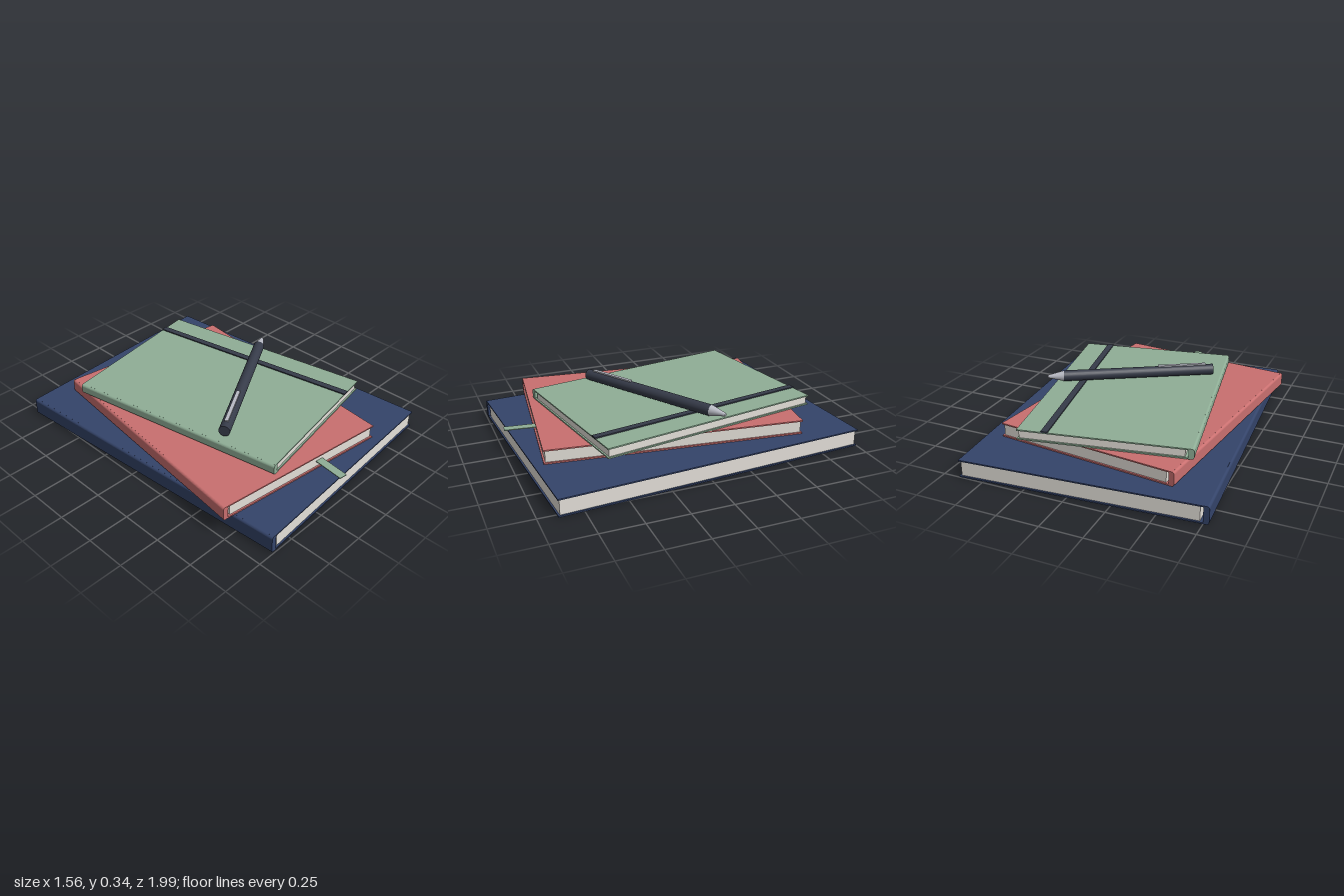
import * as THREE from 'three';

const mat = (name, color) => {
  const m = new THREE.MeshStandardMaterial({ color });
  m.name = name;
  return m;
};

function add(parent, name, geometry, material, x = 0, y = 0, z = 0) {
  const mesh = new THREE.Mesh(geometry, material);
  mesh.name = name;
  mesh.position.set(x, y, z);
  parent.add(mesh);
  return mesh;
}

// Upright rounded bar, extruded along the length of the book
function spineGeometry(w, h, depth) {
  const r = 0.0145, x = w / 2, y = h / 2;
  const s = new THREE.Shape();
  s.moveTo(-x + r, -y);
  s.lineTo(x - r, -y);
  s.absarc(x - r, -y + r, r, -Math.PI / 2, 0);
  s.lineTo(x, y - r);
  s.absarc(x - r, y - r, r, 0, Math.PI / 2);
  s.lineTo(-x + r, y);
  s.absarc(-x + r, y - r, r, Math.PI / 2, Math.PI);
  s.lineTo(-x, -y + r);
  s.absarc(-x + r, -y + r, r, Math.PI, Math.PI * 1.5);
  return new THREE.ExtrudeGeometry(s, { depth, bevelEnabled: false, curveSegments: 6 })
    .translate(0, 0, -depth / 2);
}

// Two thin covers, a rounded spine on -x and a page block with a small gap behind it
function makeBook(name, { w, d, h, x, y, z, turn, cover, paper }) {
  const book = new THREE.Group();
  book.name = name;
  book.position.set(x, y, z);
  book.rotation.y = THREE.MathUtils.degToRad(turn);
  const t = 0.008, spineW = 0.033, gap = 0.018, inset = 0.01;
  const board = new THREE.BoxGeometry(w - 0.012, t, d);
  add(book, 'bottomCover', board, cover, 0.006, t / 2, 0);
  add(book, 'topCover', board, cover, 0.006, h - t / 2, 0);
  add(book, 'spine', spineGeometry(spineW, h, d), cover, -w / 2 + spineW / 2, h / 2, 0);
  const left = -w / 2 + spineW + gap, right = w / 2 - inset;
  add(book, 'pages', new THREE.BoxGeometry(right - left, h - 2 * t, d - 2 * inset), paper,
    (left + right) / 2, h / 2, 0);
  return book;
}

export function createModel() {
  const navy = mat('navy cover', 0x34446a);
  const red = mat('red cover', 0xc96f6f);
  const green = mat('green cover', 0x8fae96);
  const paper = mat('paper', 0xe4e0d9);
  const dark = mat('dark grey', 0x363b49);
  const metal = mat('metal', 0xb9bbc5);

  const model = new THREE.Group();
  model.name = 'bookStack';

  const large = makeBook('largeBook',
    { w: 1.435, d: 1.895, h: 0.107, x: 0, y: 0, z: -0.003, turn: 4, cover: navy, paper });
  const middle = makeBook('middleBook',
    { w: 1.134, d: 1.532, h: 0.086, x: -0.08, y: 0.109, z: 0.036, turn: -7, cover: red, paper });
  const small = makeBook('smallBook',
    { w: 1.0, d: 1.394, h: 0.062, x: 0.013, y: 0.198, z: -0.031, turn: 10, cover: green, paper });
  model.add(large, middle, small);

  // Ribbon hanging out of the middle book
  add(middle, 'ribbon', new THREE.BoxGeometry(0.05, 0.005, 0.35), green, 0.136, 0.044, 0.77);

  // Elastic band across the top of the small book
  add(small, 'elasticBand', new THREE.BoxGeometry(0.04, 0.008, 1.4), dark, 0.337, 0.065, 0);

  // Pen lying along its own x axis, starting at the blunt end
  const pen = new THREE.Group();
  pen.name = 'pen';
  pen.position.set(-0.362, 0.301, 0.37);
  pen.rotation.y = THREE.MathUtils.degToRad(30.3);
  const along = (g) => g.rotateZ(-Math.PI / 2);
  add(pen, 'barrel', along(new THREE.CylinderGeometry(0.034, 0.034, 0.95, 24)), dark, 0.475);
  add(pen, 'tip', along(new THREE.CylinderGeometry(0.009, 0.033, 0.1, 24)), metal, 1.0);
  add(pen, 'clip', new THREE.BoxGeometry(0.305, 0.009, 0.022), metal, 0.2, 0.037, 0);
  model.add(pen);

  return model;
}
